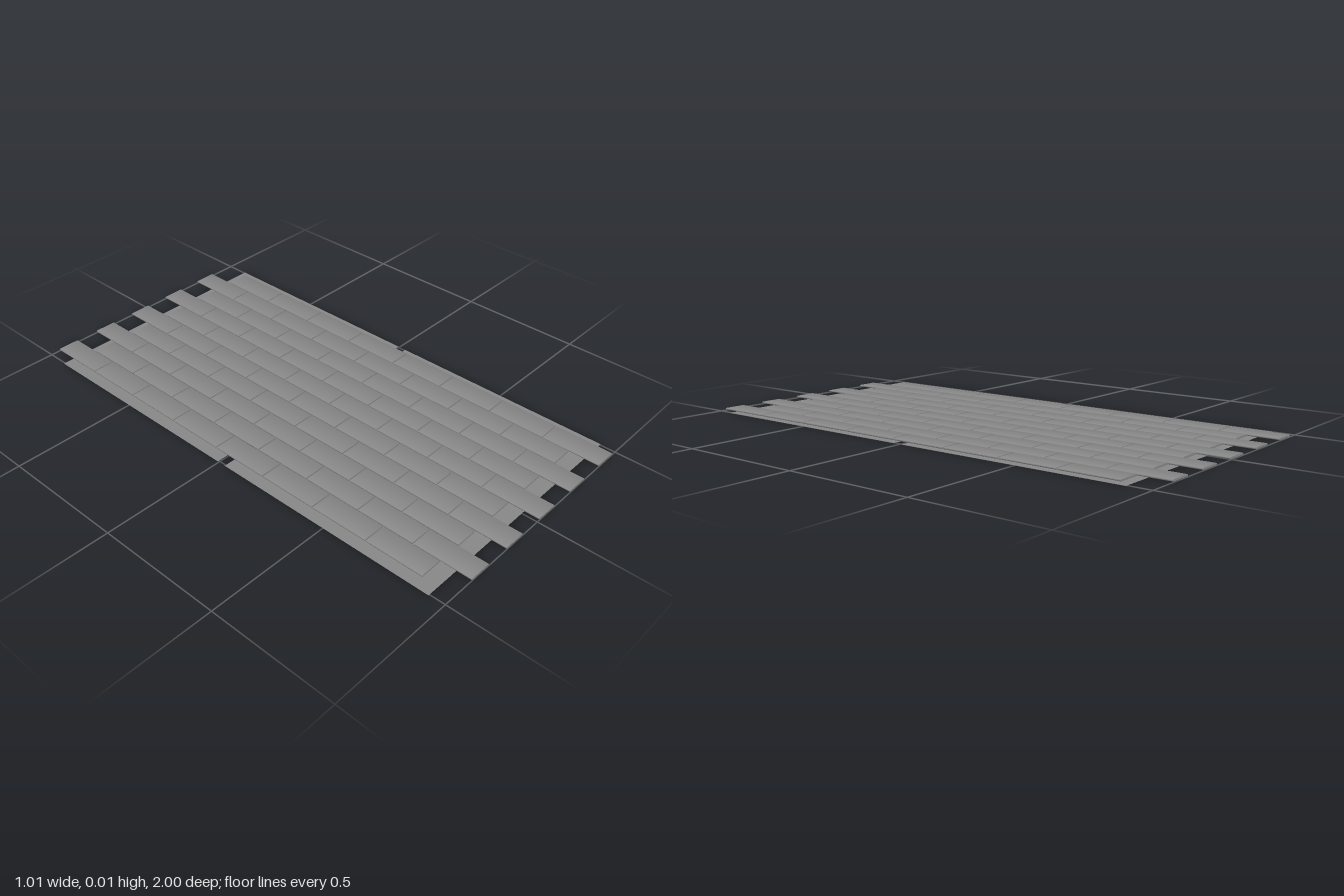
import * as THREE from 'three';
import { toCreasedNormals } from 'three/addons/utils/BufferGeometryUtils.js';

const COLUMNS = 10, ROWS = 8;
const PITCH_X = 0.0942, PITCH_Z = 0.2355;
const WIDTH = 0.0912, LENGTH = 0.23;
const BOTTOM = 0.002, TOP = 0.009, RADIUS = 0.003;

// Paving brick: flat ends and softly rounded long edges
function brickGeometry() {
  const x = WIDTH / 2 - RADIUS, y = (TOP - BOTTOM) / 2 - RADIUS;
  const profile = new THREE.Shape();
  [[x, y], [-x, y], [-x, -y], [x, -y]].forEach(([cx, cy], i) => {
    profile.absarc(cx, cy, RADIUS, i * Math.PI / 2, (i + 1) * Math.PI / 2);
  });
  const geometry = new THREE.ExtrudeGeometry(profile, { depth: LENGTH, bevelEnabled: false, curveSegments: 5 });
  return toCreasedNormals(geometry.translate(0, 0, -LENGTH / 2), Math.PI / 4);
}

export function createModel() {
  const model = new THREE.Group();
  model.name = 'brickPath';
  const brickMaterial = new THREE.MeshStandardMaterial({ color: 0x888888 });
  const mortarMaterial = new THREE.MeshStandardMaterial({ color: 0x888888, side: THREE.DoubleSide });

  // Two mortar sheets with a narrow gap between them
  for (const [name, z0, z1] of [['backMortar', -0.912, -0.005], ['frontMortar', 0.03, 0.939]]) {
    const sheet = new THREE.Mesh(new THREE.PlaneGeometry(1.01, z1 - z0).rotateX(-Math.PI / 2), mortarMaterial);
    sheet.name = name;
    sheet.position.z = (z0 + z1) / 2;
    model.add(sheet);
  }

  // Columns of bricks, every other one shifted half a brick towards the front
  const geometry = brickGeometry();
  for (let c = 0; c < COLUMNS; c++) {
    const column = new THREE.Group();
    column.name = `brickColumn${c + 1}`;
    column.position.x = -0.46 + WIDTH / 2 + c * PITCH_X;
    const start = c % 2 ? 1 - LENGTH / 2 - (ROWS - 1) * PITCH_Z : -1 + LENGTH / 2;
    for (let r = 0; r < ROWS; r++) {
      const brick = new THREE.Mesh(geometry, brickMaterial);
      brick.name = 'brick';
      brick.position.set(0, (TOP + BOTTOM) / 2, start + r * PITCH_Z);
      column.add(brick);
    }
    model.add(column);
  }
  return model;
}
